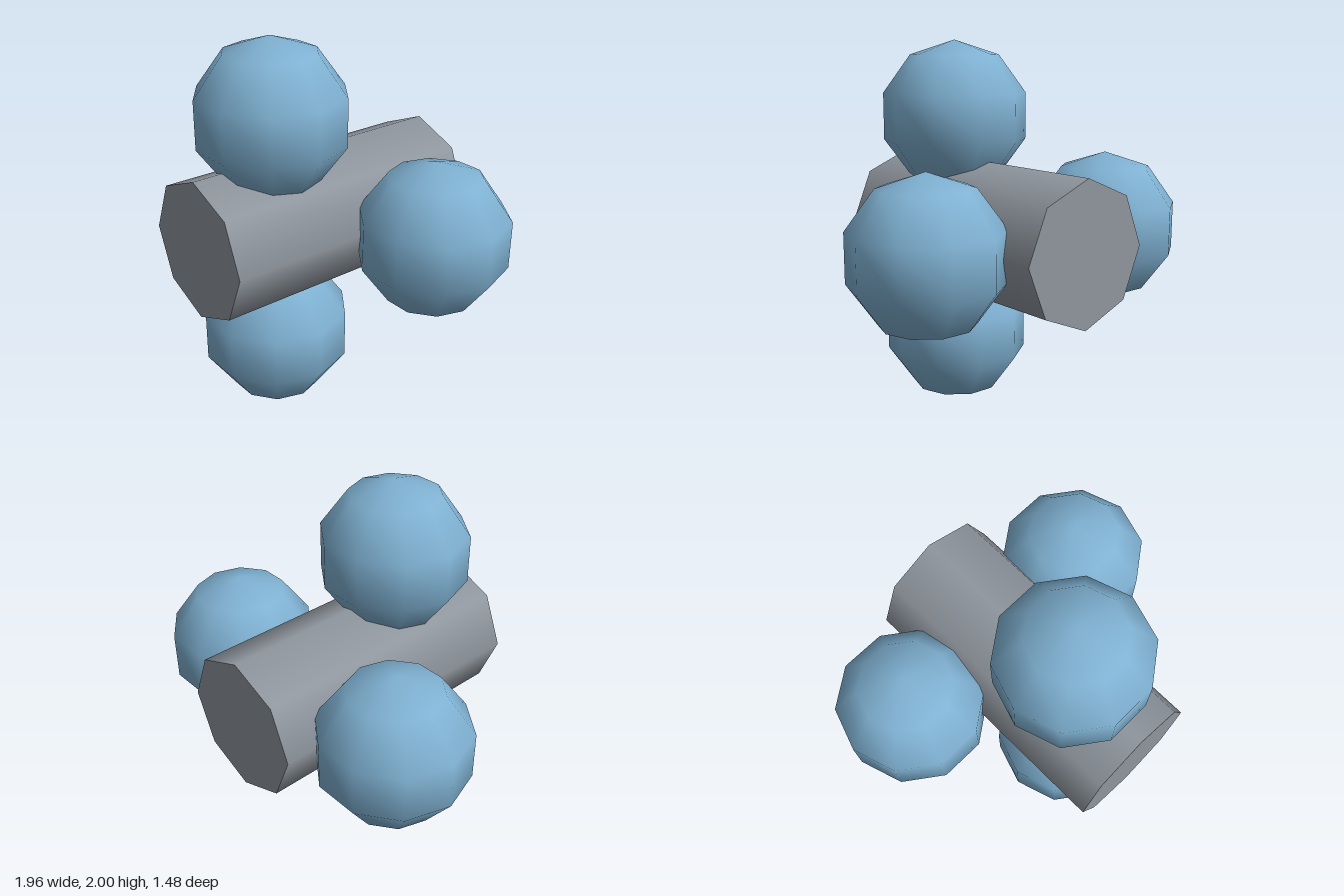
import * as THREE from 'three';

export function createModel() {
  const group = new THREE.Group();
  const grey = new THREE.MeshStandardMaterial({ color: 0x8f969e });
  grey.name = 'grey';
  const blue = new THREE.MeshStandardMaterial({ color: 0x7fb1d2 });
  blue.name = 'light blue';

  // eight-sided smooth barrel lying along z
  const barrel = new THREE.Mesh(new THREE.CylinderGeometry(0.37, 0.37, 1.48, 8), grey);
  barrel.name = 'barrel';
  barrel.rotation.x = Math.PI / 2;
  barrel.position.y = 1.004;
  group.add(barrel);

  // low-poly smooth balls: upper and lower pair forward, side pair behind
  const radius = 0.404;
  const ball = new THREE.SphereGeometry(radius, 10, 5);
  const places = {
    upperBall: [0, 2 - radius, 0.278],
    lowerBall: [0, radius + 0.005, 0.278],
    leftBall: [0.595, 1.004, -0.278],
    rightBall: [-0.595, 1.004, -0.278],
  };
  for (const [name, position] of Object.entries(places)) {
    const mesh = new THREE.Mesh(ball, blue);
    mesh.name = name;
    mesh.position.set(...position);
    group.add(mesh);
  }
  return group;
}
